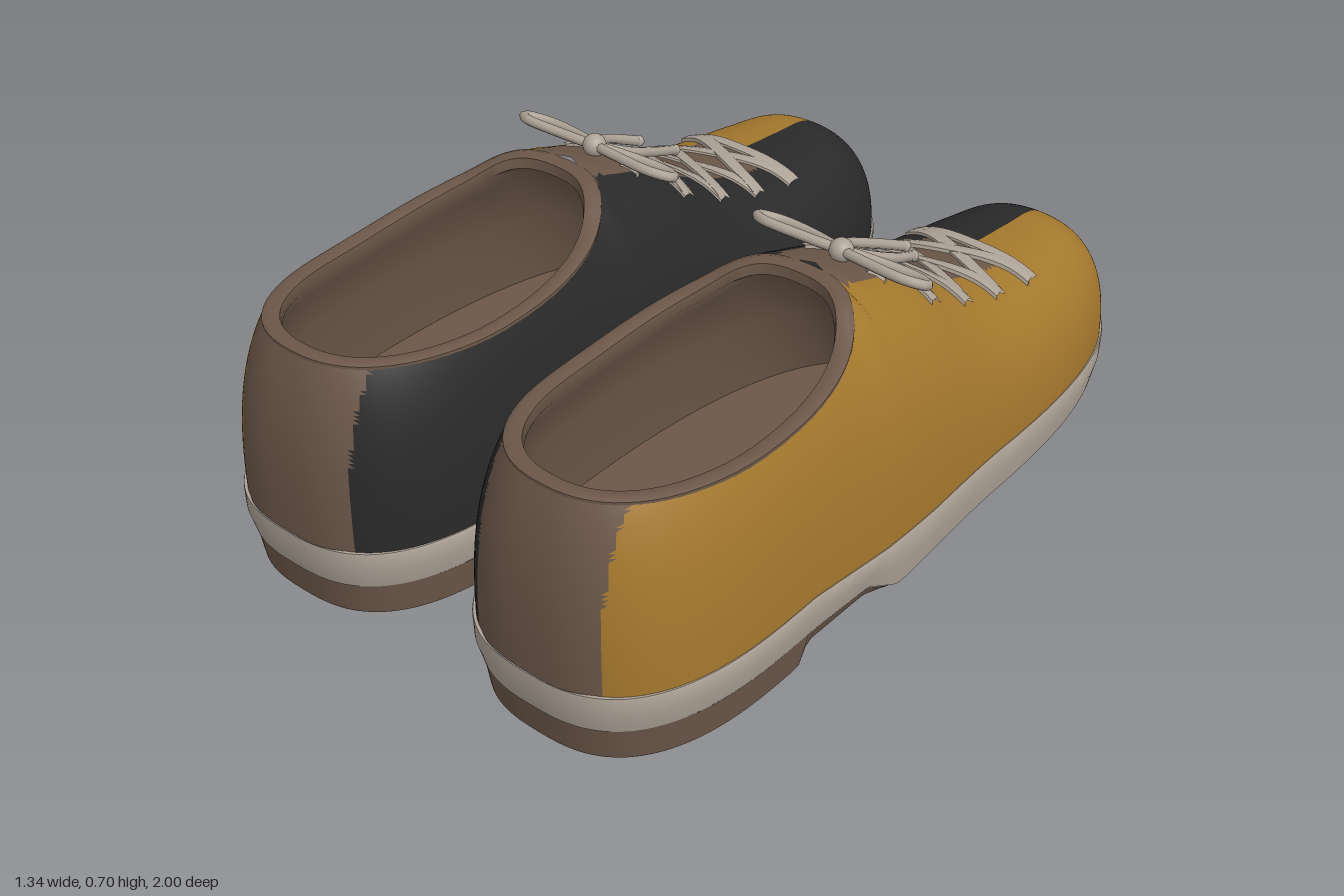
import * as THREE from 'three';
import { toCreasedNormals } from 'three/addons/utils/BufferGeometryUtils.js';

const paint = (name, color) => Object.assign(new THREE.MeshStandardMaterial({ color }), { name });
const ochre = paint('ochre leather', 0xa4782d);
const black = paint('black leather', 0x292929);
const brown = paint('brown leather', 0x6b5749);
const cream = paint('pale rubber and lace', 0xaea397);

const { lerp, smoothstep } = THREE.MathUtils;
const spow = (v, p) => Math.sign(v) * Math.abs(v) ** p;

// curve through (position, value) pairs, smooth or straight
function curve(pairs, Type = THREE.CubicInterpolant) {
  const f = new Type(pairs.map(p => p[0]), pairs.map(p => p[1]), 1);
  return x => f.evaluate(x)[0];
}
const topY = curve([[-1, .13], [-.985, .2], [-.96, .26], [-.92, .325], [-.85, .382], [-.72, .405], [-.6, .42],
  [-.38, .472], [-.24, .54], [-.1, .625], [0, .665], [.08, .688], [.2, .635], [.35, .605],
  [.55, .593], [.75, .605], [.92, .62]]);
const soleTop = curve([[-1, .1], [-.6, .12], [0, .135], [.2, .15], [.45, .185], [1, .185]], THREE.LinearInterpolant);
const soleBottom = curve([[-1, 0], [.13, 0], [.25, .07], [.45, .083], [1, .085]], THREE.LinearInterpolant);
const heelBottom = curve([[-1, 0], [.13, 0], [.25, .045], [.45, .05], [.48, 0], [1, 0]], THREE.LinearInterpolant);

// half width of the shoe ahead of the heel curve
function halfWidth(z) {
  const w = lerp(.3, .32, smoothstep(z, -.3, .2));
  const q = Math.min(1, Math.max(0, (-.3 - z) / .7));
  return w * (1 - q ** 2.5) ** .4;
}
const COLLAR = { a: .255, b: .425, z: .5, n: 2.4 };

// stations from toe to heel: outline point (x, z) and inner point (cx, cz)
const stations = [];
const FRONT = 110, REAR = 32;
for (let i = 0; i < FRONT; i++) {
  const z = -1 + 1.5 * (1 - Math.cos(i / FRONT * Math.PI / 2));
  const q = (COLLAR.z - z) / COLLAR.b;
  stations.push({ x: halfWidth(z), z, cz: z, cx: q < 1 ? COLLAR.a * (1 - q ** COLLAR.n) ** (1 / COLLAR.n) : 0 });
}
for (let i = 0; i <= REAR; i++) {
  const p = i / REAR * Math.PI / 2, c = Math.max(0, Math.cos(p)), s = Math.sin(p);
  stations.push({
    x: .32 * c ** (2 / 2.7), z: .5 + .5 * s ** (2 / 2.7), rear: true,
    cx: COLLAR.a * c ** (2 / COLLAR.n), cz: COLLAR.z + COLLAR.b * s ** (2 / COLLAR.n),
  });
}

// grid surface with one group per material, chosen by face centre and row
function grid(nu, nv, point, materials, pick = () => 0, crease = .8) {
  const pos = [], buckets = materials.map(() => []);
  for (let i = 0; i <= nu; i++) for (let j = 0; j <= nv; j++) pos.push(...point(i, j));
  const id = (i, j) => i * (nv + 1) + j;
  const mid = (ids, k) => ids.reduce((s, n) => s + pos[n * 3 + k], 0) / ids.length;
  for (let i = 0; i < nu; i++) for (let j = 0; j < nv; j++) {
    const a = id(i, j), b = id(i, j + 1), c = id(i + 1, j), d = id(i + 1, j + 1);
    for (const tri of [[a, b, c], [b, d, c]])
      buckets[pick(mid(tri, 0), mid(tri, 2), j)].push(...tri);
  }
  const g = new THREE.BufferGeometry();
  g.setAttribute('position', new THREE.Float32BufferAttribute(pos, 3));
  g.setIndex(buckets.flat());
  let start = 0;
  buckets.forEach((b, m) => { g.addGroup(start, b.length, m); start += b.length; });
  return toCreasedNormals(g, crease);
}

// loop round the shoe: toe, +x side, heel, -x side
function around(rows, point, materials, pick, crease) {
  const n = stations.length - 1;
  return grid(2 * n, rows, (i, j) => {
    const [x, y, z] = point(stations[n - Math.abs(i - n)], j);
    return [i <= n ? x : -x, y, z];
  }, materials, pick, crease);
}

const N = 2.5, ROWS = 40;
const vampY = (x, z) => {
  const b = soleTop(z), s = Math.min(1, Math.abs(x) / (halfWidth(z) * .985));
  return b + (topY(z) - b) * (1 - s ** N) ** (1 / N);
};

function upperPoint(st, j) {
  const sMin = st.rear ? COLLAR.a / .32 : st.cx ? st.cx / st.x : 0;
  const uMax = Math.acos(sMin ** (N / 2)), u = j / ROWS * uMax;
  const k = (1 - Math.max(0, Math.cos(u)) ** (2 / N)) / (1 - sMin);
  const r = (Math.sin(u) / Math.sin(uMax)) ** (2 / N);
  const b = soleTop(st.z) - .008;
  return [lerp(st.x * .985, st.cx, k), lerp(b, topY(st.cz), r), lerp(st.z * .992, st.cz, k)];
}
function upperColour(x, z) {
  if (z > .7 && Math.abs(x) < .165) return 2;
  if (z > -.55 && z < .2 && Math.abs(x) < .095) return 2;
  return x > 0 ? 0 : 1;
}

// sole layers: rows run from the underside centre, up the wall, onto the ledge
const solePoint = (st, j) => {
  const t = soleTop(st.z), b = soleBottom(st.z);
  const [f, y] = [[0, b], [.955, b], [.99, lerp(b, t, .5)], [1, t - .006], [.99, t], [.9, t]][j];
  return [st.x * f, y, st.z * (j < 2 ? .988 : 1)];
};
const heelPoint = (st, j) => {
  const z = Math.max(st.z, .13);
  const [f, y] = [[0, heelBottom(z)], [.925, heelBottom(z)], [.955, soleBottom(z)]][j];
  return [st.x * f, y, z > .5 ? .5 + (z - .5) * (j < 2 ? .945 : .97) : z];
};

// collar rim, then a lining that widens below it and runs forward under the vamp, then the insole
function collarPoint(i, j) {
  const t = i / 72 * Math.PI * 2, e = 2 / COLLAR.n;
  const sx = spow(Math.sin(t), e), sz = -spow(Math.cos(t), e);
  const { a, b, z } = COLLAR, y = topY(z + b * sz);
  const [ra, front, back, h] = [
    [a + .004, b + .004, b + .004, y - .02], [a + .003, b + .003, b + .003, y],
    [a - .012, b - .012, b - .012, y + .006], [a - .034, b - .034, b - .034, y - .002],
    [a - .037, b - .037, b - .037, y - .028], [a - .015, b + .08, b - .01, y - .07],
    [.27, .64, .445, .42], [.28, .76, .45, .22], [0, 0, 0, .22]][j];
  return [ra * sx, h, z + (sz < 0 ? front : back) * sz];
}

// flat lace lying on the vamp through (x, z) points
function laceGeometry(points, lift) {
  const path = new THREE.CatmullRomCurve3(points.map(([x, z]) => new THREE.Vector3(x, 0, z)));
  const across = [[-.022, -.012], [-.019, lift], [0, lift + .003], [.019, lift], [.022, -.012]];
  return grid(28, 4, (i, j) => {
    const p = path.getPoint(i / 28), t = path.getTangent(i / 28), [w, h] = across[j];
    const x = p.x - t.z * w, z = p.z + t.x * w;
    return [x, vampY(x, z) + h, z];
  }, [cream]);
}

const tube = (points, closed = false) => new THREE.TubeGeometry(
  new THREE.CatmullRomCurve3(points.map(p => new THREE.Vector3(...p)), closed), 32, .012, 8, closed);

function shoeParts() {
  const parts = [
    ['upper', around(ROWS, upperPoint, [ochre, black, brown], upperColour, 1), [ochre, black, brown]],
    ['sole', around(5, solePoint, [cream, brown], (x, z, j) => j === 0 ? 1 : 0), [cream, brown]],
    ['heelAndShank', around(2, heelPoint, [brown], undefined, .5), [brown]],
    ['collarAndLining', grid(72, 8, collarPoint, [brown], undefined, 1), [brown]],
    ['laceBar', laceGeometry([[-.17, -.575], [0, -.565], [.17, -.575]], .006), [cream]],
  ];
  // crossed laces
  for (let i = 0; i < 4; i++) for (const s of [1, -1]) {
    const z = -.565 + i * .135, end = i === 3 ? .1 : .17;
    parts.push(['lace', laceGeometry([[-.17 * s, z], [-.11 * s, z + .015], [.09 * s, z + .115], [end * s, z + .135]],
      s > 0 ? .006 : .009), [cream]]);
  }
  // bow
  const at = (x, z) => [x, .677 + (z + .03) * .48, z];
  const knot = new THREE.SphereGeometry(.028, 16, 12);
  knot.translate(...at(.005, -.03));
  parts.push(['bowKnot', knot, [cream]]);
  for (const s of [1, -1])
    parts.push(['bowLoop', tube([at(.01 * s, -.03), at(.1 * s, -.066), at(.19 * s, -.068), at(.226 * s, -.035),
      at(.19 * s, -.004), at(.1 * s, -.008)], true), [cream]]);
  parts.push(['bowTail', tube([at(0, -.03), at(-.035, -.1), at(-.03, -.2), at(-.01, -.3)]), [cream]]);
  parts.push(['bowTail', tube([at(.005, -.03), at(.045, -.09), at(.06, -.16), at(.052, -.24)]), [cream]]);
  for (const x of [[-.01, -.3], [.052, -.24]]) {
    const tip = new THREE.SphereGeometry(.014, 10, 8);
    tip.translate(...at(...x));
    parts.push(['laceTip', tip, [cream]]);
  }
  return parts;
}

// mirrored copy in x with the corner order reversed
function mirror(geometry) {
  const g = geometry.index ? geometry.toNonIndexed() : geometry.clone();
  g.deleteAttribute('uv');
  for (const name of ['position', 'normal']) {
    const a = g.attributes[name].array;
    for (let i = 0; i < a.length; i += 9) for (let k = 0; k < 3; k++) {
      const swap = a[i + 3 + k];
      a[i + 3 + k] = a[i + 6 + k];
      a[i + 6 + k] = swap;
    }
    for (let i = 0; i < a.length; i += 3) a[i] = -a[i];
  }
  return g;
}

export function createModel() {
  const model = new THREE.Group();
  model.name = 'pairOfShoes';
  const parts = shoeParts();
  for (const side of [1, -1]) {
    const shoe = new THREE.Group();
    shoe.name = side > 0 ? 'leftShoe' : 'rightShoe';
    shoe.position.x = side * .35;
    for (const [name, geometry, mats] of parts) {
      const mesh = new THREE.Mesh(side > 0 ? geometry : mirror(geometry), mats.length > 1 ? mats : mats[0]);
      mesh.name = name;
      shoe.add(mesh);
    }
    model.add(shoe);
  }
  return model;
}
